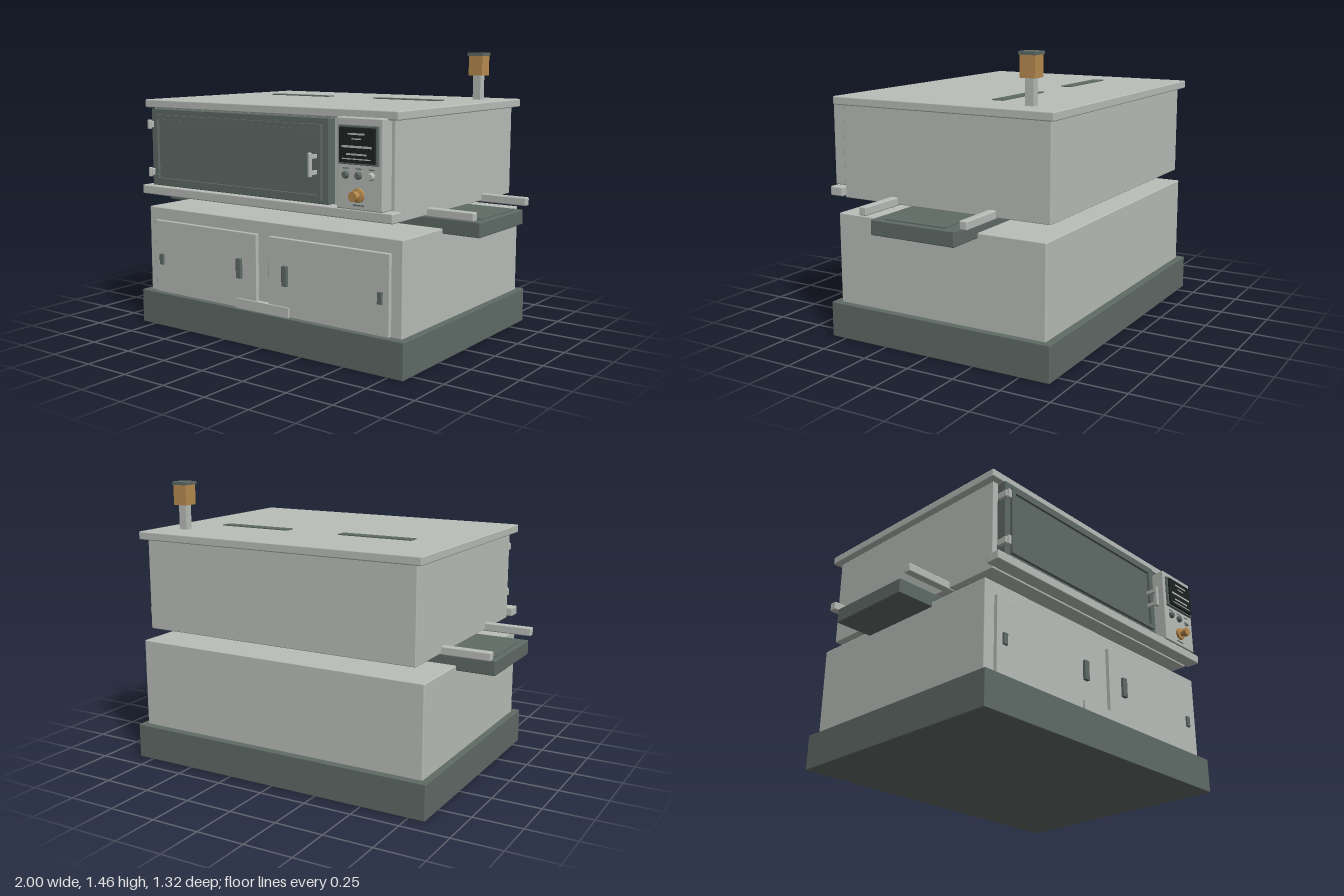
import * as THREE from 'three';
import { RoundedBoxGeometry } from 'three/addons/geometries/RoundedBoxGeometry.js';

const mat = (name, color) => {
  const m = new THREE.MeshStandardMaterial({ color });
  m.name = name;
  return m;
};

export function createModel() {
  const steel = mat('light steel', 0xb9beb9);
  const slate = mat('slate', 0x5f6b66);
  const brass = mat('brass', 0xba8c50);
  const black = mat('black glass', 0x1d2423);
  const root = new THREE.Group();
  root.name = 'oven';

  // Box given by its limits on each axis; r rounds the edges
  const box = (name, m, [x0, x1], [y0, y1], [z0, z1], r = 0, parent = root) => {
    const s = [x1 - x0, y1 - y0, z1 - z0];
    const g = r ? new RoundedBoxGeometry(...s, 2, r) : new THREE.BoxGeometry(...s);
    const mesh = new THREE.Mesh(g, m);
    mesh.position.set((x0 + x1) / 2, (y0 + y1) / 2, (z0 + z1) / 2);
    mesh.name = name;
    parent.add(mesh);
    return mesh;
  };
  const span = (c, w) => [c - w / 2, c + w / 2];

  // Lathe profile of [radius, depth] turned to face the front
  const turned = (name, m, x, y, z, profile) => {
    const pts = profile.map(([r, d]) => new THREE.Vector2(r, d));
    const g = new THREE.LatheGeometry(pts, 24).toNonIndexed();
    g.computeVertexNormals();
    const mesh = new THREE.Mesh(g, m);
    mesh.rotation.x = Math.PI / 2;
    mesh.position.set(x, y, z);
    mesh.name = name;
    root.add(mesh);
  };

  // Base and lower cabinet
  box('plinth', slate, [-0.835, 0.835], [0, 0.18], [-0.657, 0.58], 0.004);
  box('lowerCabinet', steel, [-0.803, 0.803], [0.17, 0.637], [-0.62, 0.54], 0.006);
  box('kickPlate', steel, [-0.17, 0.17], [0.18, 0.23], [0.54, 0.57]);
  for (const s of [-1, 1]) {
    box('cabinetDoor', steel, span(s * 0.392, 0.705), [0.18, 0.57], [0.535, 0.56], 0.003);
    box('cabinetHandle', slate, span(s * 0.147, 0.032), [0.335, 0.437], [0.555, 0.576], 0.004);
    box('cabinetLatch', slate, span(s * 0.697, 0.027), [0.332, 0.39], [0.555, 0.57], 0.003);
  }

  // Tray and rails passing between cabinet and oven
  box('sideTray', slate, [-1, 1], [0.612, 0.686], [-0.267, 0.19], 0.005);
  for (const s of [-1, 1]) {
    box('trayInset', slate, span(s * 0.875, 0.2), [0.684, 0.692], [-0.205, 0.127]);
  }
  for (const z of [0.235, -0.315]) {
    box('rail', steel, [-1, 1], [0.698, 0.74], span(z, 0.04), 0.006);
  }

  // Oven body, lid and sill
  box('ovenBody', steel, [-0.755, 0.755], [0.705, 1.172], [-0.615, 0.535], 0.004);
  box('lid', steel, [-0.79, 0.79], [1.17, 1.212], [-0.645, 0.568], 0.006);
  box('sill', steel, [-0.787, 0.787], [0.715, 0.762], [0.53, 0.604], 0.006);
  for (const s of [-1, 1]) {
    box('roofVent', slate, span(s * 0.35, 0.4), [1.21, 1.217], span(-0.222, 0.06));
  }

  // Oven door with raised rim, glass, hinges and handle
  box('ovenDoor', slate, [-0.725, 0.425], [0.765, 1.167], [0.53, 0.585], 0.004);
  for (const x of [-0.682, 0.38]) {
    box('doorRimSide', slate, span(x, 0.022), [0.785, 1.137], [0.58, 0.6]);
  }
  for (const y of [0.796, 1.126]) {
    box('doorRimBar', slate, [-0.692, 0.39], span(y, 0.022), [0.58, 0.6]);
  }
  box('doorGlass', slate, [-0.665, 0.362], [0.81, 1.112], [0.582, 0.59]);
  for (const y of [1.085, 0.835]) {
    box('hingeLeaf', steel, [-0.74, -0.705], span(y, 0.035), [0.55, 0.604], 0.004);
    box('hingePin', steel, span(-0.72, 0.02), span(y, 0.05), [0.596, 0.615], 0.006);
  }
  box('doorHandleGrip', steel, span(0.362, 0.018), [0.895, 1.01], [0.637, 0.655], 0.006);
  for (const y of [0.915, 0.99]) {
    box('doorHandleMount', steel, span(0.362, 0.016), span(y, 0.018), [0.58, 0.645]);
  }

  // Control panel with layered display
  box('controlPanel', steel, [0.487, 0.737], [0.762, 1.178], [0.53, 0.61], 0.006);
  box('displayBezel', slate, [0.505, 0.72], [0.968, 1.145], [0.6, 0.622], 0.004);
  box('displayScreen', black, [0.515, 0.71], [0.977, 1.136], [0.612, 0.633], 0.004);
  for (const [y, w, h] of [[1.107, 0.09, 0.008], [1.085, 0.05, 0.006],
    [1.05, 0.16, 0.01], [1.016, 0.11, 0.008], [0.995, 0.15, 0.005]]) {
    box('displayBar', steel, span(0.612, w), span(y, h), [0.63, 0.635]);
  }
  [0.54, 0.61, 0.68].forEach((x, i) => {
    turned('button', i < 2 ? slate : steel, x, 0.92, 0.605,
      [[0.018, 0], [0.018, 0.014], [0.013, 0.022], [0, 0.022]]);
    box('buttonMark', slate, span(x, 0.03), span(0.949, 0.005), [0.607, 0.612]);
  });
  turned('knob', brass, 0.61, 0.83, 0.605,
    [[0.033, 0], [0.033, 0.016], [0.016, 0.02], [0.016, 0.035], [0.023, 0.037], [0.023, 0.057], [0, 0.057]]);
  box('knobMark', slate, span(0.61, 0.06), span(0.784, 0.006), [0.607, 0.612]);

  // Chimney
  box('chimneyPost', steel, span(0.64, 0.043), [1.2, 1.345], span(-0.453, 0.043));
  box('chimneyHood', brass, span(0.64, 0.078), [1.338, 1.442], span(-0.453, 0.078));
  box('chimneyCap', slate, span(0.64, 0.088), [1.44, 1.456], span(-0.453, 0.088));
  return root;
}
